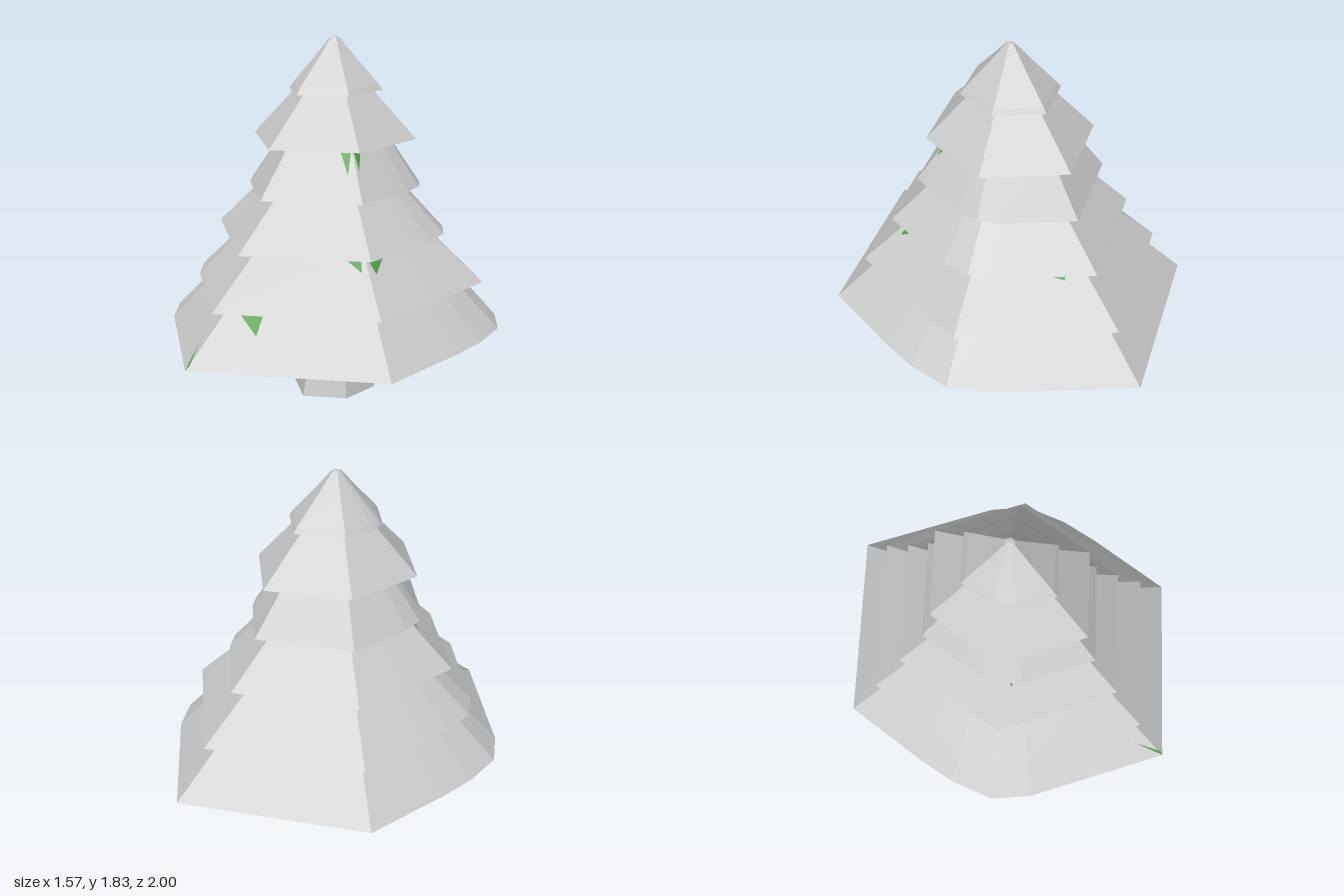
import * as THREE from 'three';

const bark = new THREE.MeshStandardMaterial({ color: 0xcccccc, flatShading: true });
const needles = new THREE.MeshStandardMaterial({ color: 0xcccccc, flatShading: true });
const green = new THREE.MeshStandardMaterial({ color: 0x4f9a45, flatShading: true, side: THREE.DoubleSide });

// Six-sided plan of size 1, pointed at front and back; the two flagged corners can be blunted
function plan(bluntRight, bluntLeft) {
  const blunt = [[0.775, 0.2], [0.725, 0.42], [0.59, 0.575]];
  const pts = [[0, 1], [0.78, 0.46], [0.785, 0]];
  if (bluntRight) blunt.forEach(([x, z]) => pts.push([x, -z]));
  else pts.push([0.78, -0.46]);
  pts.push([0, -1], [-0.78, -0.46], [-0.785, 0]);
  if (bluntLeft) blunt.forEach(([x, z]) => pts.push([-x, z]));
  else pts.push([-0.78, 0.46]);
  return pts;
}

function geometryOf(positions, index) {
  const g = new THREE.BufferGeometry();
  g.setAttribute('position', new THREE.Float32BufferAttribute(positions, 3));
  if (index) g.setIndex(index);
  g.computeVertexNormals();
  return g;
}

// Stack of scaled outlines [size, y], with optional centre heights closing the ends
function loft(outline, levels, topY, bottomY) {
  const n = outline.length, pos = [], idx = [];
  for (const [s, y] of levels) for (const [x, z] of outline) pos.push(x * s, y, z * s);
  for (let k = 0; k < levels.length - 1; k++) {
    for (let i = 0; i < n; i++) {
      const a = k * n + i, b = k * n + (i + 1) % n;
      idx.push(a, b, b + n, a, b + n, a + n);
    }
  }
  const close = (start, y, up) => {
    const c = pos.length / 3;
    pos.push(0, y, 0);
    for (let i = 0; i < n; i++) {
      const a = start + i, b = start + (i + 1) % n;
      idx.push(...(up ? [a, b, c] : [b, a, c]));
    }
  };
  if (topY !== undefined) close((levels.length - 1) * n, topY, true);
  if (bottomY !== undefined) close(0, bottomY, false);
  return geometryOf(pos, idx);
}

// Hem size and height, top size and height, blunted corners
const TIERS = [
  { hem: [1.0, 0.39], top: [0.69, 0.66], blunt: [true, true] },
  { hem: [0.83, 0.625], top: [0.51, 0.89], blunt: [false, true] },
  { hem: [0.66, 0.865], top: [0.38, 1.12], blunt: [true, false] },
  { hem: [0.51, 1.1], top: [0.3, 1.36], blunt: [true, true] },
  { hem: [0.45, 1.335], top: [0.18, 1.6], blunt: [false, false] },
  { hem: [0.265, 1.57], top: [0.025, 1.82], blunt: [false, true] },
];

// Green patches: tier, facing side, corners as [across, y]
const PATCHES = [
  [0, 'front', [[0.03, 0.63], [0.15, 0.62], [0.18, 0.53]]],
  [0, 'front', [[-0.06, 0.49], [0.005, 0.41], [0.0, 0.395]]],
  [1, 'front', [[0.32, 0.87], [0.41, 0.87], [0.46, 0.8]]],
  [1, 'side', [[0.11, 0.86], [0.25, 0.86], [0.25, 0.79]]],
  [1, 'back', [[0.05, 0.87], [0.27, 0.87], [0.1, 0.81]]],
  [2, 'front', [[-0.25, 1.11], [-0.31, 1.11], [-0.33, 1.03]]],
  [3, 'front', [[0.2, 1.34], [0.25, 1.34], [0.29, 1.22]]],
  [3, 'side', [[0.09, 1.34], [0.15, 1.34], [0.17, 1.24]]],
];

function patchGeometry(tier, side, corners) {
  const { hem, top } = TIERS[tier], lift = 0.006, pos = [];
  for (const [p, y] of corners) {
    const s = THREE.MathUtils.mapLinear(y, hem[1], top[1], hem[0], top[0]);
    const z = s - 0.692 * Math.abs(p) + lift;
    if (side === 'side') pos.push(0.785 * s + lift, y, p);
    else pos.push(p, y, side === 'front' ? z : -z);
  }
  return geometryOf(pos);
}

export function createModel() {
  const group = new THREE.Group();
  const add = (name, geometry, material) => {
    const mesh = new THREE.Mesh(geometry, material);
    mesh.name = name;
    group.add(mesh);
  };

  // Flared trunk with a slightly domed foot
  add('trunk', loft(plan(false, false),
    [[0.235, 0.015], [0.205, 0.14], [0.172, 0.3], [0.155, 0.42]], undefined, 0), bark);
  add('trunkPatch', geometryOf([0.1, 0.388, -0.1, 0.02, 0.388, -0.155, 0.04, 0.28, -0.16]), green);

  // Overlapping branch skirts, each with a green underside
  TIERS.forEach(({ hem, top, blunt }, i) => {
    const outline = plan(...blunt);
    const last = i === TIERS.length - 1;
    const levels = last ? [hem, [0.245, 1.595], [0.115, 1.725], top] : [hem, top];
    add('branchTier' + (i + 1), loft(outline, levels, last ? 1.825 : undefined), needles);
    add('tierUnderside' + (i + 1), loft(outline, [hem], undefined, hem[1]), green);
  });

  // Small green patches on the skirts
  PATCHES.forEach((patch) => add('greenPatch', patchGeometry(...patch), green));
  return group;
}
